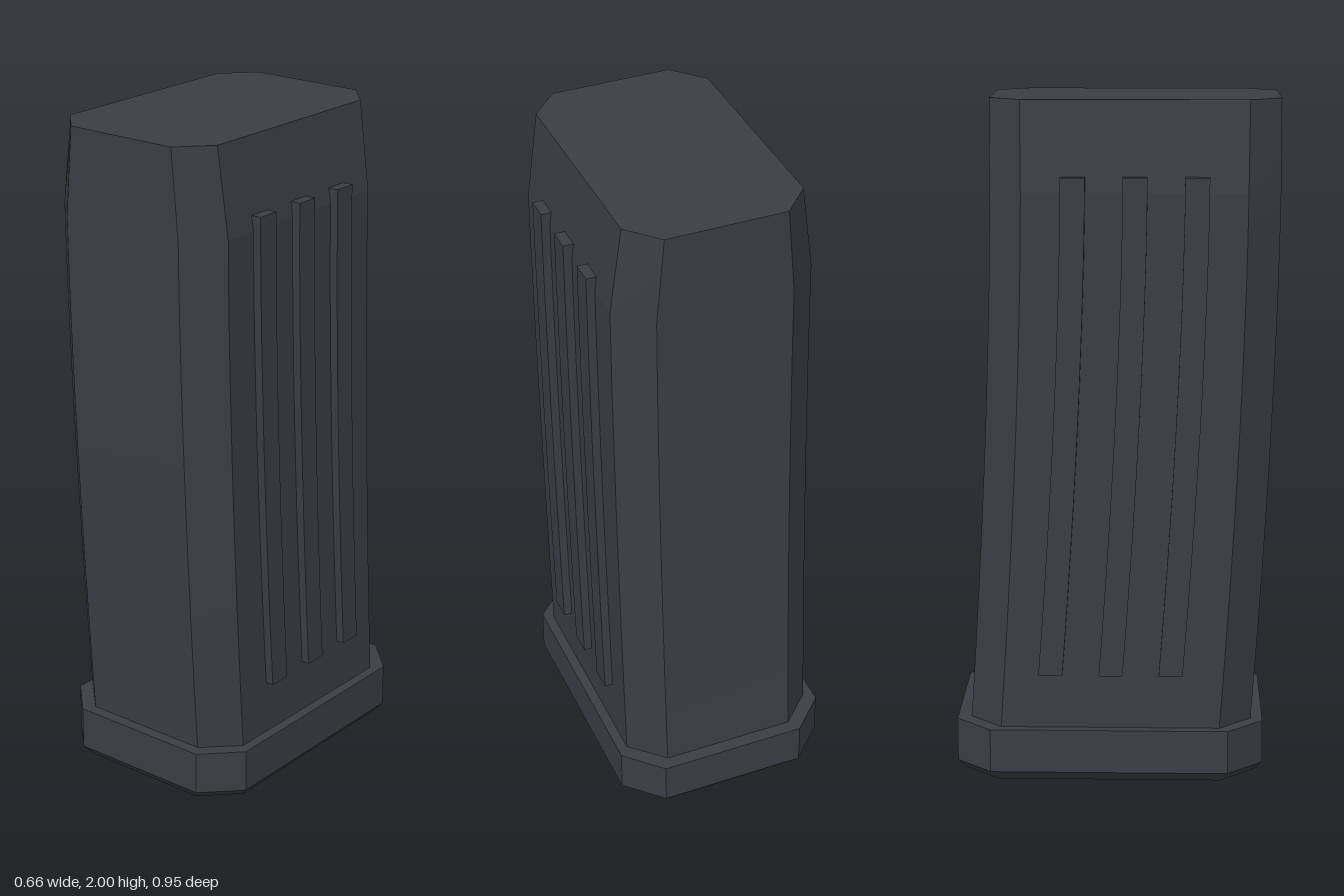
import * as THREE from 'three';
import { toCreasedNormals } from 'three/addons/utils/BufferGeometryUtils.js';

// Skin a stack of rings (bottom to top) and cap both ends
function loft(rings) {
  const n = rings[0].length, index = [], last = (rings.length - 1) * n;
  for (let i = 0; i < rings.length - 1; i++) {
    for (let j = 0; j < n; j++) {
      const a = i * n + j, b = i * n + (j + 1) % n;
      index.push(a, b, b + n, a, b + n, a + n);
    }
  }
  for (let j = 1; j < n - 1; j++) {
    index.push(0, j + 1, j, last, last + j, last + j + 1);
  }
  const geo = new THREE.BufferGeometry();
  geo.setAttribute('position', new THREE.Float32BufferAttribute(rings.flat(2), 3));
  geo.setIndex(index);
  return toCreasedNormals(geo, 0.1);
}

// Rectangle with cut corners, cx and cz being the size of the cut
function octagon(y, w, d, cx, cz, zc) {
  return [
    [-w + cx, d], [w - cx, d], [w, d - cz], [w, -d + cz],
    [w - cx, -d], [-w + cx, -d], [-w, -d + cz], [-w, d - cz],
  ].map(([x, z]) => [x, y, z + zc]);
}

// Backward sweep of the curved body below its straight top
const sweep = (y, top, bottom) =>
  0.07 * Math.pow(Math.max(0, (top - y) / (top - bottom)), 1.6);

export function createModel() {
  const group = new THREE.Group();
  const polymer = new THREE.MeshStandardMaterial({ color: 0x3a3e45 });
  polymer.name = 'dark grey polymer';
  const add = (name, geo) => {
    const mesh = new THREE.Mesh(geo, polymer);
    mesh.name = name;
    group.add(mesh);
  };

  // Curved body, narrowing in width at the top
  const body = [];
  for (let i = 0; i <= 12; i++) {
    const y = 0.14 + (1.74 - 0.14) * i / 12;
    body.push(octagon(y, 0.3, 0.4175, 0.097, 0.095, 0.053 - sweep(y, 1.75, 0.16)));
  }
  body.push(octagon(2, 0.265, 0.4175, 0.085, 0.092, 0.053));
  add('body', loft(body));

  // Base plate with a bevelled underside
  add('basePlate', loft([
    octagon(0, 0.305, 0.43, 0.1, 0.1, -0.02),
    octagon(0.03, 0.33, 0.455, 0.105, 0.105, -0.02),
    octagon(0.16, 0.33, 0.455, 0.105, 0.105, -0.02),
  ]));

  // Three raised ribs following the curve on each side
  for (const side of [-1, 1]) {
    [0.231, 0.055, -0.122].forEach((z, k) => {
      const rings = [];
      for (let i = 0; i <= 12; i++) {
        const y = 0.325 + 1.46 * i / 12;
        const zc = z - sweep(y, 1.785, 0.325), xc = side * 0.3075;
        rings.push([[-1, 1], [1, 1], [1, -1], [-1, -1]].map(
          ([sx, sz]) => [xc + sx * 0.0175, y, zc + sz * 0.035]));
      }
      add(`${side > 0 ? 'left' : 'right'}Rib${k + 1}`, loft(rings));
    });
  }
  return group;
}
